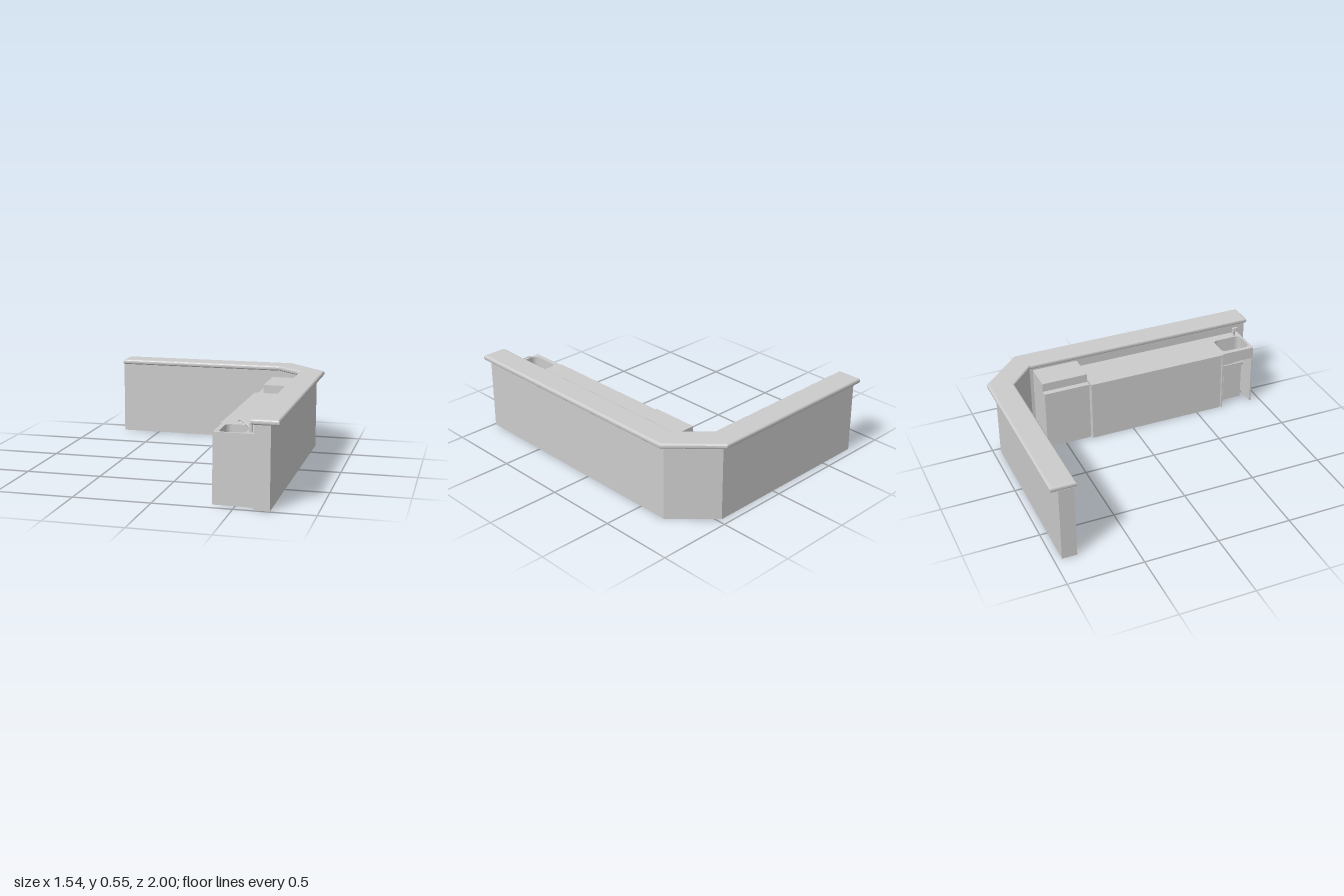
import * as THREE from 'three';

const mat = new THREE.MeshStandardMaterial({ color: 0xcccccc, side: THREE.DoubleSide, flatShading: true });
const smooth = new THREE.MeshStandardMaterial({ color: 0xcccccc });

export function createModel() {
  const root = new THREE.Group();

  const add = (name, geo, material = mat, parent = root) => {
    const mesh = new THREE.Mesh(geo, material);
    mesh.name = name;
    parent.add(mesh);
    return mesh;
  };
  const group = (name) => {
    const g = new THREE.Group();
    g.name = name;
    root.add(g);
    return g;
  };

  // Box given by its minimum and maximum along each axis
  const box = (name, [x0, x1], [y0, y1], [z0, z1], parent) => {
    const geo = new THREE.BoxGeometry(x1 - x0, y1 - y0, z1 - z0);
    geo.translate((x0 + x1) / 2, (y0 + y1) / 2, (z0 + z1) / 2);
    return add(name, geo, mat, parent);
  };

  // Plan outlines are [x, z] pairs; a flat shape uses -z as its y
  const toShape = (pts) => new THREE.Shape(pts.map(([x, z]) => new THREE.Vector2(x, -z)));
  const lay = (geo, y) => geo.rotateX(-Math.PI / 2).translate(0, y, 0);

  // Vertical sheet walls along a closed plan outline, open above and below
  const sheetWalls = (pts, y0, y1) => {
    const pos = [];
    pts.forEach(([ax, az], i) => {
      const [bx, bz] = pts[(i + 1) % pts.length];
      pos.push(ax, y0, az, bx, y1, bz, bx, y0, bz, ax, y0, az, ax, y1, az, bx, y1, bz);
    });
    const geo = new THREE.BufferGeometry();
    geo.setAttribute('position', new THREE.Float32BufferAttribute(pos, 3));
    geo.computeVertexNormals();
    return geo;
  };
  const rect = (x0, x1, z0, z1) => [[x0, z0], [x1, z0], [x1, z1], [x0, z1]];

  // Hollow bar wall with a chamfered corner
  add('barWall', sheetWalls([
    [-0.77, -0.95], [0.47, -0.95], [0.72, -0.7], [0.72, 0.99],
    [0.62, 0.99], [0.62, -0.66], [0.43, -0.85], [-0.77, -0.85],
  ], 0, 0.515));

  // Overhanging bar top with rounded edges
  const b = 0.014;
  const topGeo = new THREE.ExtrudeGeometry(toShape([
    [-0.77, -1], [0.49, -1], [0.77, -0.72], [0.77, 1],
    [0.6, 1], [0.6, -0.66], [0.42, -0.83], [-0.77, -0.83],
  ]), { depth: 0.007, bevelThickness: b, bevelSize: b, bevelOffset: -b, bevelSegments: 4 });
  add('barTop', lay(topGeo, 0.512 + b));

  // Long under-bar cabinet with its worktop
  const cabinet = group('cabinet');
  add('cabinetBody', sheetWalls(rect(0.365, 0.62, -0.305, 0.685), 0, 0.425), mat, cabinet);
  box('worktop', [0.35, 0.62], [0.425, 0.445], [-0.31, 0.69], cabinet);

  // Appliance near the corner, with a door at its front
  const appliance = group('appliance');
  box('applianceBody', [0.41, 0.61], [0.01, 0.5], [-0.64, -0.32], appliance);
  box('applianceDoor', [0.37, 0.41], [0.01, 0.44], [-0.64, -0.32], appliance);

  // Sink cabinet: two side panels and a front apron, open below
  const sink = group('sinkUnit');
  for (const z of [0.692, 0.925]) box('sinkSidePanel', [0.36, 0.62], [0, 0.44], [z, z + 0.01], sink);
  box('sinkApron', [0.36, 0.37], [0.36, 0.44], [0.702, 0.925], sink);

  // Rounded basin set into the sink top
  const basin = [];
  const [r, x0, x1, z0, z1] = [0.035, 0.39, 0.555, 0.71, 0.92];
  [[x1 - r, z1 - r], [x0 + r, z1 - r], [x0 + r, z0 + r], [x1 - r, z0 + r]].forEach(([cx, cz], k) => {
    for (let i = 0; i <= 6; i++) {
      const a = (k + i / 6) * Math.PI / 2;
      basin.push([cx + r * Math.cos(a), cz + r * Math.sin(a)]);
    }
  });
  const sinkTop = toShape(rect(0.36, 0.62, 0.69, 0.935));
  sinkTop.holes.push(toShape(basin));
  add('sinkTop', lay(new THREE.ExtrudeGeometry(sinkTop, { depth: 0.01, bevelEnabled: false }), 0.435), mat, sink);
  add('basinWalls', sheetWalls(basin, 0.34, 0.435), mat, sink);
  add('basinFloor', lay(new THREE.ShapeGeometry(toShape(basin)), 0.34), mat, sink);

  // Faucet with an arched spout and a lever
  const faucet = group('faucet');
  add('faucetBase', new THREE.CylinderGeometry(0.011, 0.012, 0.05, 20), smooth, faucet).position.set(0.583, 0.47, 0.89);
  const spout = new THREE.CatmullRomCurve3([
    [0.58, 0.462, 0.886], [0.55, 0.485, 0.868], [0.52, 0.502, 0.848], [0.5, 0.502, 0.836], [0.492, 0.494, 0.831],
  ].map((p) => new THREE.Vector3(...p)));
  add('faucetSpout', new THREE.TubeGeometry(spout, 20, 0.005, 10), smooth, faucet);
  box('faucetLever', [0.576, 0.594], [0.493, 0.499], [0.88, 0.92], faucet);

  // Waste bin below the sink
  const bin = group('wasteBin');
  const binPlan = rect(0.4, 0.52, 0.725, 0.865);
  add('binWalls', sheetWalls(binPlan, 0.03, 0.32), mat, bin);
  add('binFloor', lay(new THREE.ShapeGeometry(toShape(binPlan)), 0.03), mat, bin);
  const rim = toShape(rect(0.39, 0.53, 0.715, 0.875));
  rim.holes.push(toShape(binPlan));
  add('binRim', lay(new THREE.ExtrudeGeometry(rim, { depth: 0.025, bevelEnabled: false }), 0.3), mat, bin);

  return root;
}
